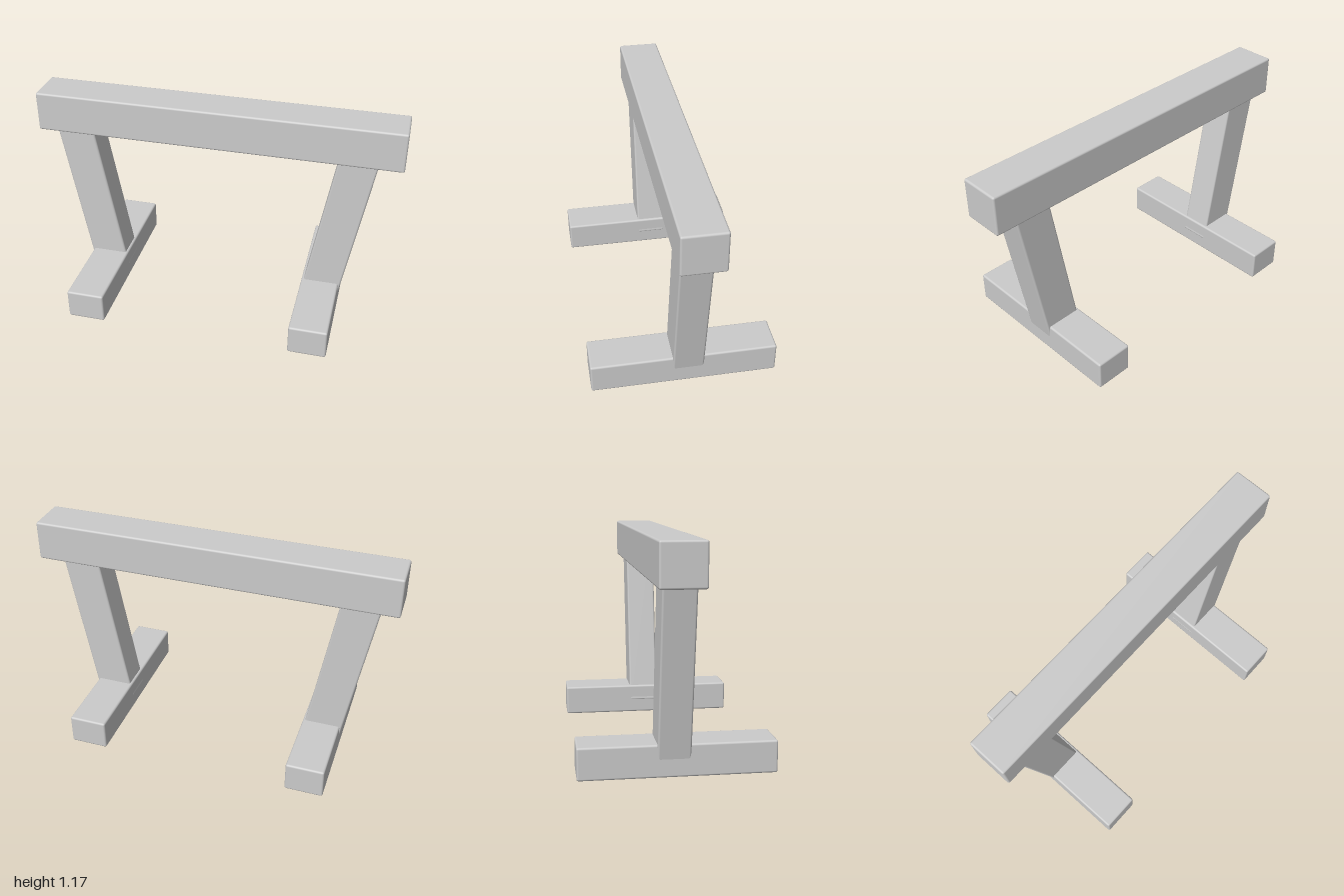
import * as THREE from 'three';
import { RoundedBoxGeometry } from 'three/addons/geometries/RoundedBoxGeometry.js';

const OFFSET_X = -0.017; // legs and feet sit slightly off the beam's centre
const OFFSET_Z = -0.021;
const LEAN = THREE.MathUtils.degToRad(10);

export function createModel() {
  const model = new THREE.Group();
  model.name = 'trestle';
  const material = new THREE.MeshStandardMaterial({ color: 0xcccccc });

  // Softly bevelled timber
  const timber = (name, [w, h, d], [x, y, z], parent) => {
    const mesh = new THREE.Mesh(new RoundedBoxGeometry(w, h, d, 2, 0.011), material);
    mesh.name = name;
    mesh.position.set(x, y, z);
    parent.add(mesh);
    return mesh;
  };

  // Top rail
  timber('beam', [2, 0.22, 0.226], [0, 1.065, OFFSET_Z], model);

  // Splayed leg standing on a long foot at each end
  for (const side of [-1, 1]) {
    const support = new THREE.Group();
    support.name = side > 0 ? 'leftSupport' : 'rightSupport';
    model.add(support);

    timber('foot', [0.21, 0.168, 1], [OFFSET_X + side * 0.628, 0.084, 0], support);
    const leg = timber('leg', [0.207, 1.03, 0.168], [OFFSET_X + side * 0.711, 0.565, OFFSET_Z], support);
    leg.rotation.z = -side * LEAN;
  }

  return model;
}
